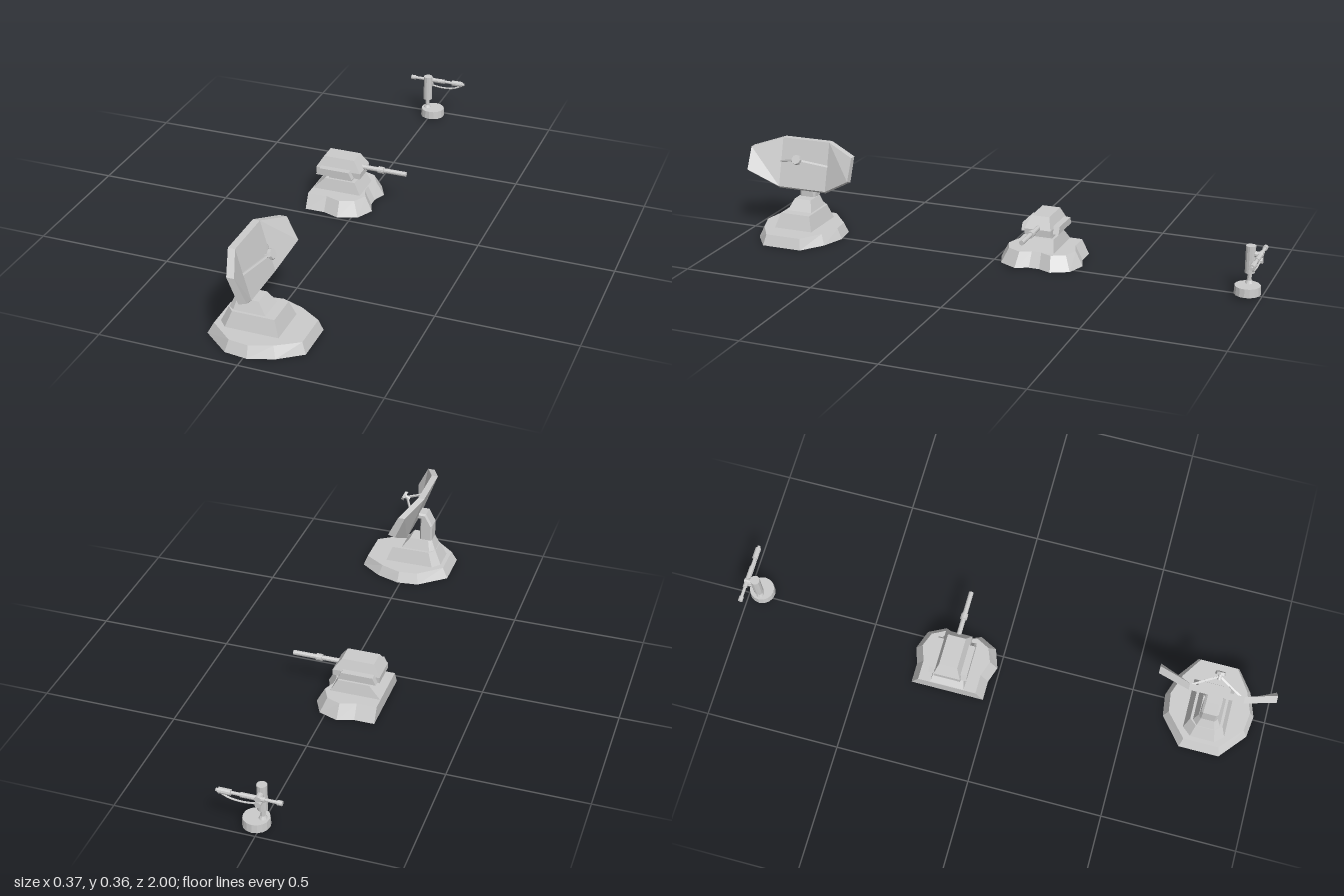
import * as THREE from 'three';

const material = new THREE.MeshStandardMaterial({ color: 0xcccccc, flatShading: true });

function add(group, name, geometry, x = 0, y = 0, z = 0) {
  const mesh = new THREE.Mesh(geometry, material);
  mesh.name = name;
  mesh.position.set(x, y, z);
  group.add(mesh);
  return mesh;
}

// Skin through rings of points (counter-clockwise seen from the last ring), capped at both ends
function loft(rings) {
  const out = [];
  const tri = (...points) => points.forEach((p) => out.push(...p));
  const centre = (ring) => [0, 1, 2].map((k) => ring.reduce((s, p) => s + p[k], 0) / ring.length);
  const n = rings[0].length, last = rings[rings.length - 1];
  for (let i = 0; i < n; i++) {
    const j = (i + 1) % n;
    for (let r = 0; r + 1 < rings.length; r++) {
      const a = rings[r], b = rings[r + 1];
      tri(a[i], a[j], b[j]);
      tri(a[i], b[j], b[i]);
    }
    tri(centre(rings[0]), rings[0][j], rings[0][i]);
    tri(centre(last), last[i], last[j]);
  }
  const g = new THREE.BufferGeometry();
  g.setAttribute('position', new THREE.Float32BufferAttribute(out, 3));
  g.computeVertexNormals();
  return g;
}

// Horizontal ring mirrored across z from a half outline of [x, z], front to rear
const ring = (y, half) => [
  ...half.map(([x, z]) => [x, y, -z]),
  ...half.slice().reverse().map(([x, z]) => [x, y, z]),
];
const rect = (y, x0, x1, hz) => ring(y, [[x1, hz], [x0, hz]]);

// Straight rod between two points
function rod(group, name, a, b, r0, r1 = r0, sides = 10) {
  const p = new THREE.Vector3(...a), q = new THREE.Vector3(...b);
  const d = q.clone().sub(p);
  const mesh = add(group, name, new THREE.CylinderGeometry(r1, r0, d.length(), sides));
  mesh.position.copy(p).add(q).multiplyScalar(0.5);
  mesh.quaternion.setFromUnitVectors(new THREE.Vector3(0, 1, 0), d.normalize());
}

function createRadar() {
  const g = new THREE.Group();
  g.name = 'radarStation';
  // Stepped base
  add(g, 'radarBase', loft([
    ring(0, [[0.182, 0.078], [0.1, 0.138], [0.012, 0.168], [-0.07, 0.158], [-0.17, 0.075]]),
    ring(0.04, [[0.167, 0.07], [0.088, 0.122], [0.01, 0.15], [-0.062, 0.141], [-0.149, 0.066]]),
  ]));
  add(g, 'lowerStep', loft([
    ring(0.04, [[0.086, 0.077], [-0.105, 0.077], [-0.133, 0.045]]),
    ring(0.095, [[0.066, 0.06], [-0.085, 0.06], [-0.107, 0.035]]),
  ]));
  add(g, 'upperStep', loft([
    ring(0.095, [[0.03, 0.05], [-0.085, 0.05], [-0.105, 0.033]]),
    ring(0.135, [[0, 0.034], [-0.075, 0.034], [-0.088, 0.024]]),
  ]));
  // Column with a head that reaches the dish
  const profile = new THREE.Shape([
    [-0.088, 0.13], [-0.038, 0.13], [-0.038, 0.225], [-0.022, 0.225],
    [-0.03, 0.249], [-0.061, 0.249], [-0.088, 0.2],
  ].map((p) => new THREE.Vector2(...p)));
  add(g, 'column', new THREE.ExtrudeGeometry(profile, {
    depth: 0.048, bevelThickness: 0.008, bevelSize: 0.006, bevelOffset: -0.006, bevelSegments: 1,
  }), 0, 0, -0.024);
  // Dish: flat middle panel and two wings folded forward
  const wing = (z) => [[0, 0.324, z], [-0.027, 0.324, z], [0.012, 0.233, z], [0.04, 0.242, z]];
  const middle = (z) => [[-0.047, 0.359, z], [-0.072, 0.359, z], [-0.004, 0.17, z], [0.004, 0.178, z]];
  add(g, 'dish', loft([wing(-0.212), middle(-0.098), middle(0.098), wing(0.212)]));
  // Receiver held by two struts
  for (const s of [-1, 1]) rod(g, 'receiverStrut', [-0.025, 0.27, s * 0.1], [0.026, 0.3, 0], 0.005, 0.005, 4);
  rod(g, 'receiverStem', [0.015, 0.293, 0], [0.036, 0.304, 0], 0.008);
  rod(g, 'receiverDisc', [0.032, 0.302, 0], [0.042, 0.307, 0], 0.02, 0.018, 8);
  g.position.z = 0.788;
  return g;
}

function createTurret() {
  const g = new THREE.Group();
  g.name = 'turret';
  add(g, 'turretBase', loft([
    ring(0, [[0.035, 0.02], [0.055, 0.068], [0.022, 0.133], [-0.05, 0.158], [-0.11, 0.138], [-0.184, 0.138]]),
    ring(0.054, [[0.008, 0.018], [0.026, 0.06], [0, 0.11], [-0.052, 0.13], [-0.11, 0.11], [-0.184, 0.11]]),
  ]));
  // Pedestal and waist
  add(g, 'pedestal', loft([
    rect(0.054, -0.182, 0.005, 0.064),
    rect(0.098, -0.138, -0.02, 0.054),
  ]));
  add(g, 'waist', loft([
    rect(0.098, -0.125, -0.035, 0.045),
    rect(0.117, -0.125, -0.035, 0.045),
  ]));
  add(g, 'cabin', loft([
    rect(0.115, -0.175, 0, 0.05),
    rect(0.137, -0.175, 0, 0.05),
    rect(0.18, -0.149, -0.03, 0.034),
  ]));
  // Side pods
  for (const s of [-1, 1]) {
    add(g, 'sidePod', loft([
      rect(0.118, -0.168, -0.025, 0.012),
      rect(0.145, -0.155, -0.038, 0.012),
    ]), 0, 0, s * 0.06);
  }
  // Barrel
  rod(g, 'barrel', [-0.02, 0.143, 0], [0.165, 0.143, 0], 0.009, 0.009, 12);
  rod(g, 'barrelSleeve', [0.055, 0.143, 0], [0.077, 0.143, 0], 0.013, 0.013, 12);
  g.position.z = -0.168;
  return g;
}

function createLightGun() {
  const g = new THREE.Group();
  g.name = 'lightGun';
  add(g, 'gunBase', new THREE.CylinderGeometry(0.046, 0.048, 0.031, 16), 0.013, 0.026, 0);
  // Post and sleeve
  rod(g, 'post', [-0.01, 0.04, 0], [-0.01, 0.085, 0], 0.008);
  rod(g, 'postCollar', [-0.01, 0.04, 0], [-0.01, 0.052, 0], 0.016, 0.01);
  rod(g, 'postSleeve', [-0.01, 0.08, 0], [-0.01, 0.18, 0], 0.018, 0.018, 12);
  // Pivots reaching sideways to the gun
  for (const y of [0.15, 0.128]) rod(g, 'pivot', [-0.01, y, -0.01], [-0.01, y, -0.044], 0.011);
  // Barrel with thicker breech and muzzle
  const z = -0.035;
  rod(g, 'gunBarrel', [-0.093, 0.15, z], [0.135, 0.15, z], 0.006);
  rod(g, 'rearCap', [-0.093, 0.15, z], [-0.075, 0.15, z], 0.009);
  rod(g, 'breech', [-0.035, 0.15, z], [0.05, 0.15, z], 0.009);
  rod(g, 'muzzle', [0.083, 0.15, z], [0.126, 0.15, z], 0.011);
  // Hanging cable
  const cable = new THREE.CatmullRomCurve3([
    [-0.01, 0.128], [0.04, 0.122], [0.09, 0.127], [0.128, 0.145],
  ].map(([x, y]) => new THREE.Vector3(x, y, z)));
  add(g, 'cable', new THREE.TubeGeometry(cable, 12, 0.0035, 6));
  g.position.z = -0.95;
  return g;
}

export function createModel() {
  const model = new THREE.Group();
  model.name = 'baseDefences';
  model.add(createRadar(), createTurret(), createLightGun());
  return model;
}
